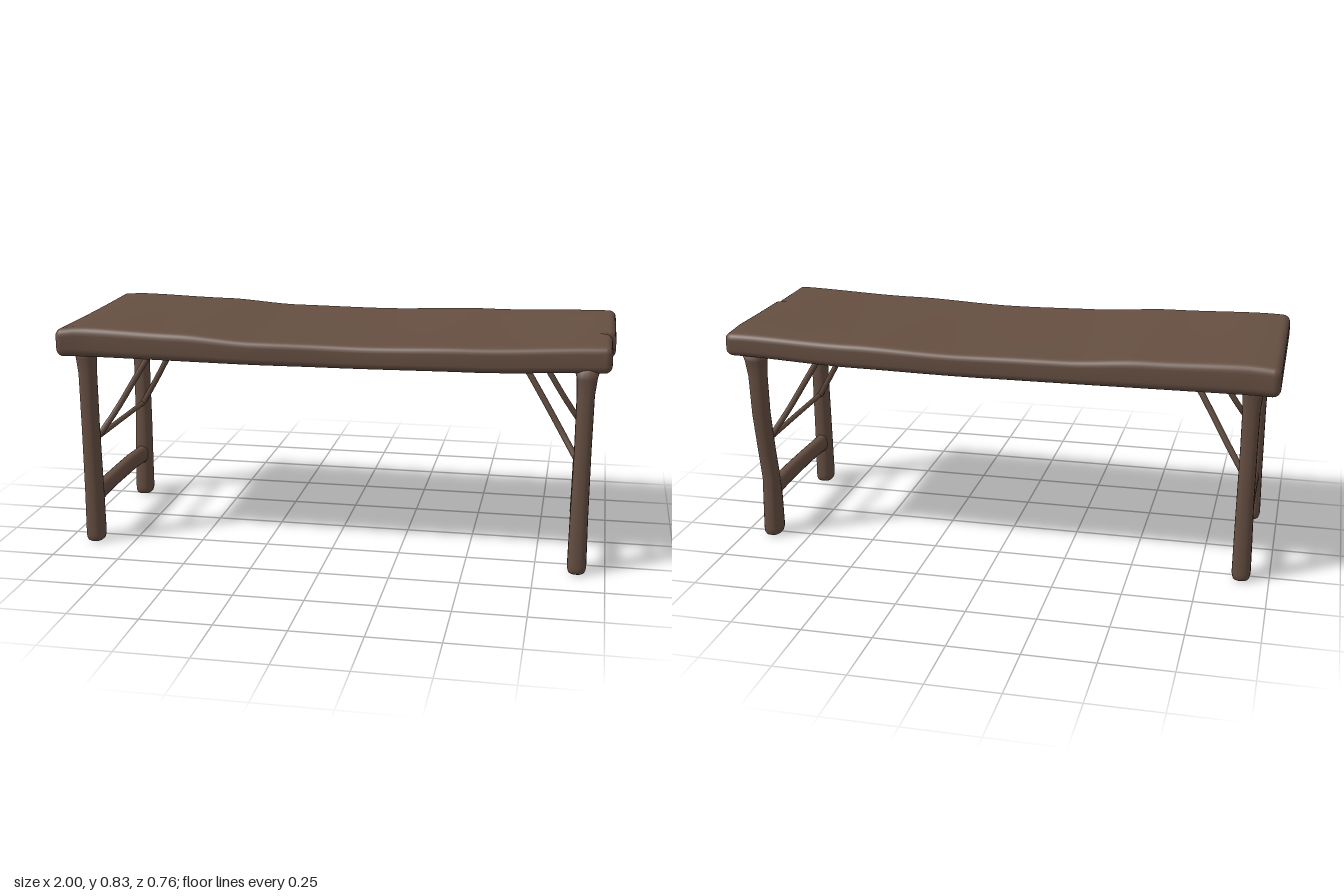
import * as THREE from 'three';
import { mergeVertices } from 'three/addons/utils/BufferGeometryUtils.js';

const wood = new THREE.MeshStandardMaterial({ color: 0x664f42 });
wood.name = 'dark brown wood';

function addMesh(group, name, geometry) {
  const mesh = new THREE.Mesh(geometry, wood);
  mesh.name = name;
  group.add(mesh);
  return mesh;
}

// Piecewise-linear profile smoothed between stops: [[position, value], ...]
function profile(stops, t) {
  for (let i = 1; i < stops.length; i++) {
    const [a, va] = stops[i - 1], [b, vb] = stops[i];
    if (t <= b || i === stops.length - 1) return va + (vb - va) * THREE.MathUtils.smoothstep(t, a, b);
  }
}

// Grid coordinate with three narrow segments at each end for the rounding
function gridCoord(t, n, half, r) {
  const i = Math.round((t + 0.5) * n);
  if (i <= 3) return -half + (r * i) / 3;
  if (i >= n - 3) return half - (r * (n - i)) / 3;
  return -half + r + (2 * (half - r) * (i - 3)) / (n - 6);
}

// Sagging, slightly uneven slab with rounded edges
function slabGeometry() {
  const half = [1, 0.5, 0.375], seg = [54, 8, 46], r = 0.028, thick = 0.1;
  half[1] = thick / 2;
  let g = new THREE.BoxGeometry(1, 1, 1, ...seg);
  g.deleteAttribute('uv');
  g.deleteAttribute('normal');
  g = mergeVertices(g);
  const pos = g.attributes.position;
  const topLine = [[-1, 0.822], [-0.9, 0.828], [-0.55, 0.82], [-0.25, 0.803], [0.1, 0.8], [0.5, 0.812], [1, 0.83]];
  const bottomLine = [[-1, 0.717], [0, 0.713], [0.5, 0.72], [1, 0.735]];
  const backLine = [[-1, -0.382], [-0.9, -0.375], [-0.1, -0.375], [0.35, -0.385], [1, -0.375]];
  const frontLine = [[-1, 0.38], [-0.9, 0.367], [-0.3, 0.374], [0, 0.364], [0.45, 0.375], [1, 0.366]];
  for (let i = 0; i < pos.count; i++) {
    const p = [0, 1, 2].map((k) => gridCoord(pos.getComponent(i, k), seg[k], half[k], r));
    const inner = p.map((v, k) => THREE.MathUtils.clamp(v, r - half[k], half[k] - r));
    const d = new THREE.Vector3(...p.map((v, k) => v - inner[k]));
    if (d.length() > 0) {
      const reach = Math.max(Math.abs(d.x), Math.abs(d.y), Math.abs(d.z));
      d.setLength(reach);
    }
    let x = inner[0] + d.x;
    const v = (inner[1] + d.y) / thick + 0.5;
    const w = (inner[2] + d.z) / 0.75 + 0.5;
    const z = THREE.MathUtils.lerp(profile(backLine, x), profile(frontLine, x), w);
    let y = THREE.MathUtils.lerp(profile(bottomLine, x), profile(topLine, x), v);
    // shallow hollow along the middle and low back corner
    y -= v * 0.006 * Math.sin(Math.PI * w) * (1 - x * x * 0.5);
    if (x > 0.5 && z < -0.25) y -= v * 0.16 * (x - 0.5) * (-0.25 - z);
    // notch in the end edge
    if (x > 0.92) {
      if (z > 0.11) x -= 0.012 * (x - 0.92) / 0.08;
      if (Math.abs(z - 0.112) < 0.012) x -= 0.04 * (x - 0.92) / 0.08;
    }
    pos.setXYZ(i, x, y, z);
  }
  g.computeVertexNormals();
  return g;
}

// Skin over rounded cross-sections: [x, y, z, ru, rv]; across = true for sections standing upright
function loft(rings, across = false, sides = 20) {
  const verts = [], index = [];
  const add = ([x, y, z, ru, rv], a) => {
    const soft = (c) => Math.sign(c) * Math.pow(Math.abs(c), 0.78);
    const u = ru * soft(Math.cos(a)), v = rv * soft(Math.sin(a));
    verts.push(x + u, across ? y + v : y, across ? z : z + v);
  };
  for (const ring of rings) for (let j = 0; j < sides; j++) add(ring, (j / sides) * Math.PI * 2);
  const first = rings[0], last = rings[rings.length - 1];
  const c0 = verts.length / 3, c1 = c0 + 1, top = (rings.length - 1) * sides;
  verts.push(first[0], first[1], first[2], last[0], last[1], last[2]);
  for (let j = 0; j < sides; j++) {
    const k = (j + 1) % sides;
    for (let i = 0; i < top; i += sides) {
      index.push(i + j, i + sides + j, i + k, i + k, i + sides + j, i + sides + k);
    }
    index.push(c0, j, k, c1, top + k, top + j);
  }
  const g = new THREE.BufferGeometry();
  g.setAttribute('position', new THREE.Float32BufferAttribute(verts, 3));
  g.setIndex(index);
  g.computeVertexNormals();
  return g;
}

// Leg from centre stations [y, x, z, rx, rz], with a rounded foot
function legGeometry(stations) {
  const [, x, z, rx, rz] = stations[0];
  const foot = [[0, 0.7], [0.004, 0.86], [0.015, 0.97]].map(([y, s]) => [x, y, z, rx * s, rz * s]);
  return loft([...foot, ...stations.map(([y, cx, cz, a, b]) => [cx, y, cz, a, b])]);
}

function rod(points, radius) {
  const curve = new THREE.CatmullRomCurve3(points.map((p) => new THREE.Vector3(...p)));
  return new THREE.TubeGeometry(curve, 20, radius, 10);
}

export function createModel() {
  const model = new THREE.Group();
  model.name = 'bench table';
  addMesh(model, 'tableTop', slabGeometry());

  for (const s of [1, -1]) {
    const side = s > 0 ? 'left' : 'right';
    const frame = new THREE.Group();
    frame.name = side + 'LegFrame';
    model.add(frame);

    // legs: the back one on the left bows outward toward its top
    const frontZ = s > 0 ? 0.318 : 0.308;
    addMesh(frame, 'frontLeg', legGeometry([
      [0.03, s * 0.9, frontZ, 0.034, 0.043], [0.2, s * 0.9, frontZ, 0.032, 0.041],
      [0.45, s * 0.902, frontZ, 0.03, 0.039], [0.65, s * 0.903, frontZ, 0.031, 0.038],
      [0.71, s * 0.905, frontZ, 0.036, 0.041], [0.75, s * 0.905, frontZ, 0.046, 0.046],
    ]));
    addMesh(frame, 'backLeg', legGeometry(s > 0 ? [
      [0.03, 0.895, -0.26, 0.034, 0.048], [0.14, 0.895, -0.259, 0.032, 0.046],
      [0.23, 0.895, -0.263, 0.031, 0.034], [0.35, 0.9, -0.278, 0.03, 0.036],
      [0.5, 0.905, -0.295, 0.031, 0.036], [0.65, 0.905, -0.304, 0.033, 0.035],
      [0.71, 0.907, -0.305, 0.04, 0.04], [0.75, 0.907, -0.305, 0.052, 0.05],
    ] : [
      [0.03, -0.9, -0.268, 0.034, 0.044], [0.15, -0.9, -0.273, 0.033, 0.042],
      [0.3, -0.9, -0.283, 0.031, 0.039], [0.5, -0.902, -0.292, 0.03, 0.036],
      [0.65, -0.903, -0.298, 0.031, 0.036], [0.71, -0.905, -0.3, 0.036, 0.041],
      [0.75, -0.905, -0.3, 0.046, 0.046],
    ]));

    // lower stretcher, gently arched
    addMesh(frame, 'lowerStretcher', loft([
      [0.3, 0.174, 0.037], [0.2, 0.178, 0.032], [0.1, 0.18, 0.032], [0, 0.18, 0.033],
      [-0.1, 0.18, 0.033], [-0.18, 0.176, 0.033], [-0.27, 0.168, 0.037],
    ].map(([z, y, r]) => [s * 0.898, y, z, 0.023, r]), true));

    addMesh(frame, 'upperRod', rod([[s * 0.895, 0.389, 0.3], [s * 0.895, 0.387, 0], [s * 0.895, 0.384, -0.28]], 0.01));

    // diagonal braces up to the underside
    addMesh(frame, 'frontBrace', rod([
      [s * 0.89, 0.39, 0.275], [s * 0.82, 0.5, 0.233], [s * 0.76, 0.6, 0.219], [s * 0.675, 0.74, 0.207]], 0.011));
    addMesh(frame, 'backBrace', rod([
      [s * 0.89, 0.39, -0.258], [s * 0.82, 0.5, -0.23], [s * 0.76, 0.6, s > 0 ? -0.217 : -0.207],
      [s * 0.675, 0.74, s > 0 ? -0.211 : -0.18]], 0.011));
  }
  return model;
}
